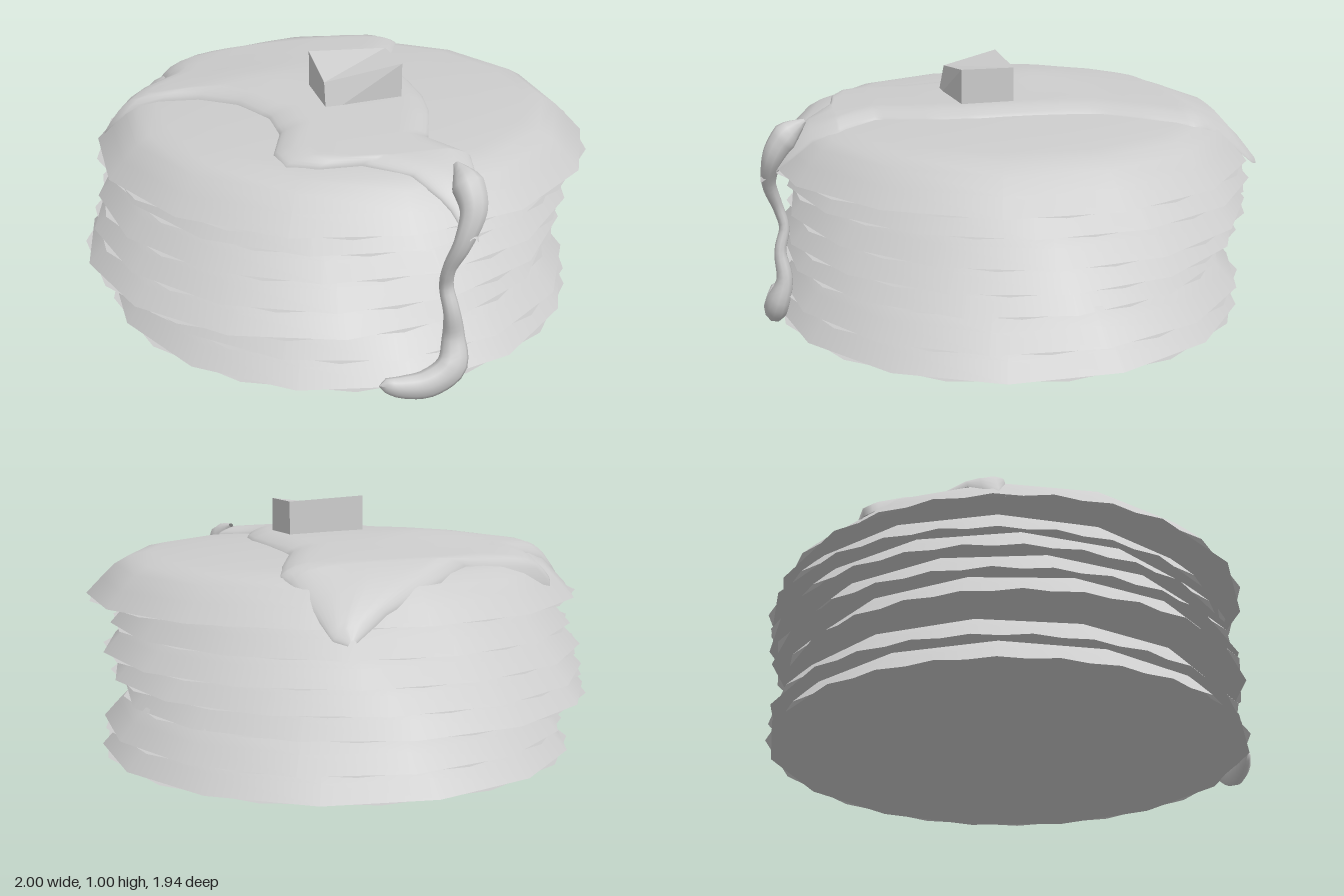
import * as THREE from 'three';
import { toCreasedNormals } from 'three/addons/utils/BufferGeometryUtils.js';

const SIDES = 14;

// Dome profile of a pancake: [radius, height], rim to centre
const PROFILE = [[1, 0], [0.94, 0.06], [0.885, 0.112], [0.83, 0.142], [0.75, 0.158], [0.55, 0.172], [0.3, 0.184], [0, 0.19]];

// Bounds of each pancake: bottom y, xMin, xMax, zMin, zMax
const STACK = [
  [0.06, -0.91, 0.955, -0.94, 0.92],
  [0.16, -0.87, 0.95, -0.94, 0.90],
  [0.26, -1.0, 0.87, -0.90, 0.88],
  [0.36, -0.96, 0.92, -0.94, 0.88],
  [0.46, -0.93, 0.955, -0.96, 0.86],
  [0.56, -0.87, 0.92, -0.97, 0.86],
  [0.66, -0.93, 1.0, -0.94, 0.93],
];

// Linear lookup through [key, value] pairs sorted by key
function lookup(pairs, k) {
  for (let i = 1; i < pairs.length; i++) {
    const [a, va] = pairs[i - 1], [b, vb] = pairs[i];
    if (k <= b) return va + (vb - va) * Math.max(0, (k - a) / (b - a));
  }
  return pairs[pairs.length - 1][1];
}

// Height of the top pancake's surface, continued past its rim
const DOME = [...PROFILE].reverse().concat([[1.05, -0.04]]);
function topHeight(x, z) {
  return 0.66 + lookup(DOME, Math.hypot((x - 0.035) / 0.965, z / 0.935));
}

function createPancake([y, x0, x1, z0, z1], i, material) {
  const group = new THREE.Group();
  group.name = 'pancake' + (i + 1);
  const dome = new THREE.LatheGeometry(PROFILE.map(([r, h]) => new THREE.Vector2(r, h)), SIDES);
  const base = new THREE.CircleGeometry(1, SIDES);
  base.rotateX(Math.PI / 2);
  for (const [name, geometry] of [['dome', dome], ['underside', base]]) {
    geometry.rotateY(i * 0.37);
    geometry.scale((x1 - x0) / 2, 1, (z1 - z0) / 2);
    geometry.translate((x0 + x1) / 2, y, (z0 + z1) / 2);
    const mesh = new THREE.Mesh(geometry, material);
    mesh.name = name;
    group.add(mesh);
  }
  return group;
}

// Puddle outline as left and right edges, [z, x] from back to front
const LEFT = [[-0.93, 0.33], [-0.88, 0.2], [-0.8, -0.04], [-0.68, -0.2], [-0.65, -0.57], [-0.6, -0.6], [-0.45, -0.59],
  [-0.37, -0.63], [-0.26, -0.82], [-0.21, -0.88], [-0.175, -0.8], [-0.15, -0.66], [-0.1, -0.52], [0.02, -0.39],
  [0.2, -0.31], [0.35, -0.31], [0.5, -0.37], [0.6, -0.35], [0.65, -0.25], [0.67, -0.1], [0.77, 0.05], [0.88, 0.15], [0.96, 0.19]];
const RIGHT = [[-0.93, 0.36], [-0.9, 0.4], [-0.8, 0.43], [-0.62, 0.48], [-0.5, 0.43], [-0.3, 0.33], [0.15, 0.32],
  [0.3, 0.29], [0.53, 0.2], [0.68, 0.3], [0.85, 0.27], [0.96, 0.22]];

function createPuddle(material) {
  const zs = [...new Set([...LEFT, ...RIGHT].map((p) => p[0]))].sort((a, b) => a - b);
  const cols = 20, pos = [], index = [];
  zs.forEach((z, j) => {
    const l = lookup(LEFT, z), r = lookup(RIGHT, z);
    for (let c = 0; c <= cols; c++) {
      // columns crowd towards the rounded edges
      const u = 0.5 - 0.5 * Math.cos((Math.PI * c) / cols);
      const x = l + (r - l) * u;
      const edge = Math.min(x - l, r - x, z - zs[0] + 0.02, 0.98 - z);
      const swell = 0.02 * Math.exp(-((x + 0.3) ** 2 + (z + 0.15) ** 2) / 0.06);
      const lift = -0.006 + (0.036 + swell) * Math.sqrt(Math.min(1, Math.max(0, edge) / 0.08));
      pos.push(x, topHeight(x, z) + lift, z);
      if (j && c) {
        const d = j * (cols + 1) + c, b = d - cols - 1;
        index.push(b - 1, d - 1, b, b, d - 1, d);
      }
    }
  });
  const geometry = new THREE.BufferGeometry();
  geometry.setAttribute('position', new THREE.Float32BufferAttribute(pos, 3));
  geometry.setIndex(index);
  geometry.computeVertexNormals();
  const mesh = new THREE.Mesh(geometry, material);
  mesh.name = 'syrupPuddle';
  return mesh;
}

// Drip running down the front: x, y, z, radius
const DRIP = [[0.2, 0.84, 0.79, 0.01], [0.215, 0.79, 0.86, 0.06], [0.22, 0.72, 0.91, 0.052], [0.18, 0.61, 0.93, 0.036],
  [0.145, 0.5, 0.9, 0.026], [0.145, 0.42, 0.88, 0.026], [0.16, 0.33, 0.9, 0.03], [0.175, 0.22, 0.89, 0.042],
  [0.16, 0.12, 0.92, 0.06], [0.07, 0.07, 0.93, 0.055], [-0.03, 0.07, 0.925, 0.042], [-0.09, 0.085, 0.92, 0.025], [-0.11, 0.085, 0.92, 0.001]];

function createDrip(material) {
  const curve = new THREE.CatmullRomCurve3(DRIP.map((p) => new THREE.Vector3(p[0], p[1], p[2])));
  const rings = 48, sides = 10;
  const geometry = new THREE.TubeGeometry(curve, rings, 1, sides);
  const pos = geometry.attributes.position, v = new THREE.Vector3();
  for (let i = 0; i < pos.count; i++) {
    const u = Math.floor(i / (sides + 1)) / rings;
    const centre = curve.getPointAt(u);
    const t = curve.getUtoTmapping(u) * (DRIP.length - 1);
    const radius = lookup(DRIP.map((p, k) => [k, p[3]]), t);
    v.fromBufferAttribute(pos, i).sub(centre).multiplyScalar(radius);
    v.z *= 0.75;
    v.add(centre);
    pos.setXYZ(i, v.x, Math.max(0, v.y), v.z);
  }
  const mesh = new THREE.Mesh(toCreasedNormals(geometry, 1.2), material);
  mesh.name = 'syrupDrip';
  return mesh;
}

// Butter pat with one front corner melted lower
function createButter(material) {
  const geometry = new THREE.BoxGeometry(0.31, 0.17, 0.2).toNonIndexed();
  geometry.translate(0.055, 0.925, 0.105);
  const pos = geometry.attributes.position;
  for (let i = 0; i < pos.count; i++) {
    const x = pos.getX(i), y = pos.getY(i), z = pos.getZ(i);
    const left = x < 0.05, top = y > 0.92, front = z > 0.1;
    if (front && left) pos.setZ(i, top ? 0.215 : 0.24);
    if (top) pos.setY(i, left ? (front ? 0.965 : 1.02) : 1.005);
  }
  geometry.computeVertexNormals();
  const mesh = new THREE.Mesh(geometry, material);
  mesh.name = 'butter';
  return mesh;
}

export function createModel() {
  const group = new THREE.Group();
  group.name = 'pancakeStack';
  const grey = new THREE.MeshStandardMaterial({ color: 0xcccccc });
  grey.name = 'plainGrey';
  grey.side = THREE.DoubleSide;
  STACK.forEach((bounds, i) => group.add(createPancake(bounds, i, grey)));
  group.add(createPuddle(grey), createDrip(grey), createButter(grey));
  return group;
}
